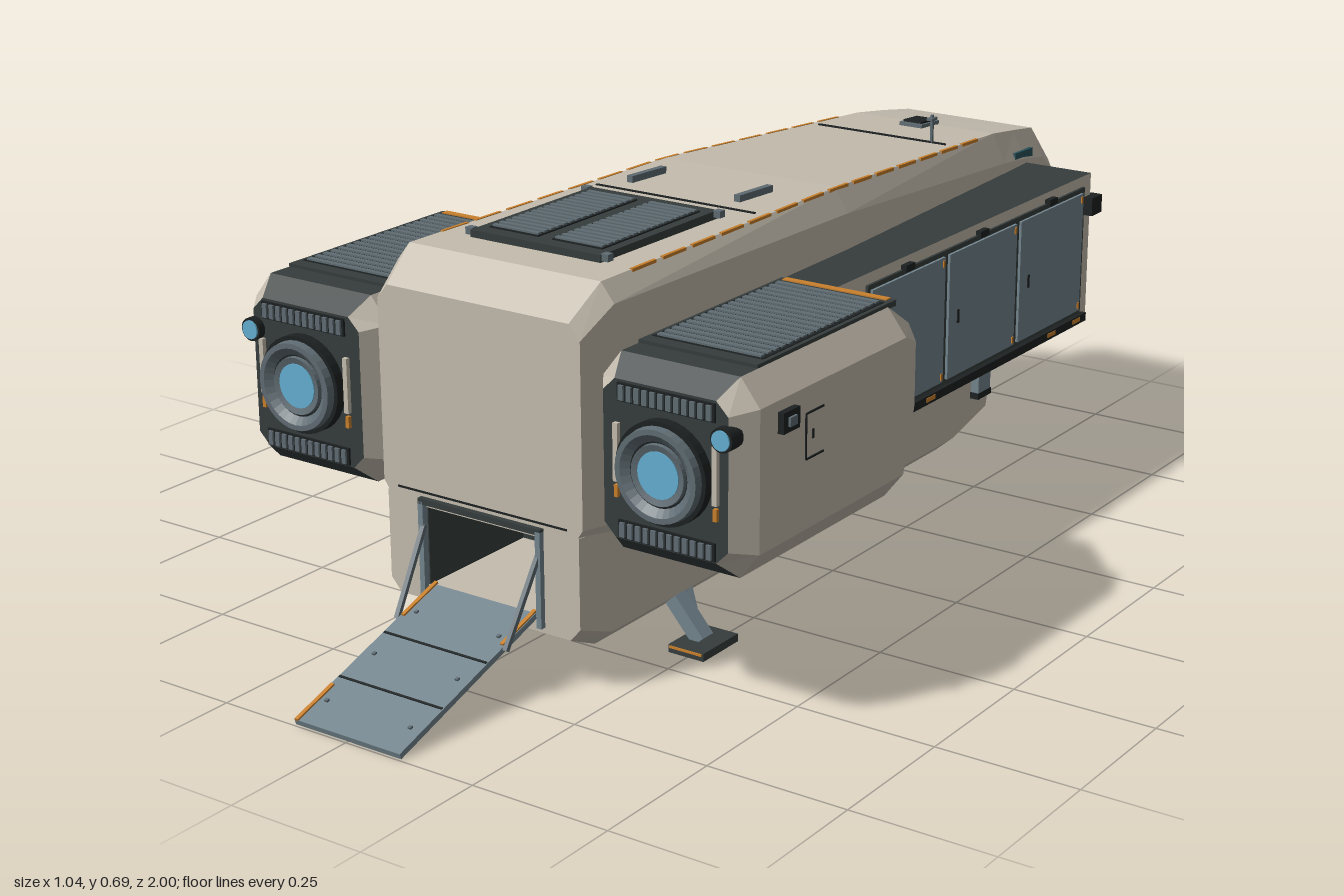
import * as THREE from 'three';

const mat = (name, color, side = THREE.FrontSide) => {
  const m = new THREE.MeshStandardMaterial({ color, side, flatShading: true });
  m.name = name;
  return m;
};

export function createModel() {
  const hull = mat('hull beige', 0xc4bcae), dark = mat('dark plating', 0x363d3c),
    black = mat('black trim', 0x1d2122), panel = mat('blue grey panel', 0x74868f),
    steel = mat('steel', 0x5f6c73, THREE.DoubleSide), orange = mat('orange marking', 0xc9802c),
    glow = mat('engine blue', 0x64b0d4), glass = mat('teal glass', 0x2a525c, THREE.DoubleSide);
  const root = new THREE.Group();
  root.name = 'dropship';

  const add = (parent, name, geo, m, x = 0, y = 0, z = 0) => {
    const mesh = new THREE.Mesh(geo, m);
    mesh.name = name;
    mesh.position.set(x, y, z);
    parent.add(mesh);
    return mesh;
  };
  const box = (p, name, m, w, h, d, x, y, z) => add(p, name, new THREE.BoxGeometry(w, h, d), m, x, y, z);
  const group = (p, name) => {
    const g = new THREE.Group();
    g.name = name;
    p.add(g);
    return g;
  };
  // square bar from point a to point b
  const bar = (p, name, m, a, b, w, h = w) => {
    const A = new THREE.Vector3(...a), B = new THREE.Vector3(...b);
    const mesh = box(p, name, m, w, h, A.distanceTo(B), 0, 0, 0);
    mesh.position.copy(A).add(B).multiplyScalar(0.5);
    mesh.quaternion.setFromRotationMatrix(new THREE.Matrix4().lookAt(B, A, new THREE.Vector3(0, 1, 0)));
    return mesh;
  };
  // loft of convex sections [z, points] from front to back; pick(edge) gives 0 or 1 for the material
  const loft = (p, name, secs, mats, pick, frontCap = 0) => {
    const tris = [[], []], n = secs[0][1].length;
    const P = (s, i) => [...secs[s][1][i % n], secs[s][0]];
    for (let s = 0; s < secs.length - 1; s++)
      for (let i = 0; i < n; i++)
        tris[pick(i)].push(P(s, i), P(s + 1, i), P(s + 1, i + 1), P(s, i), P(s + 1, i + 1), P(s, i + 1));
    const e = secs.length - 1;
    for (let i = 1; i < n - 1; i++) {
      if (frontCap !== null) tris[frontCap].push(P(0, 0), P(0, i), P(0, i + 1));
      tris[0].push(P(e, 0), P(e, i + 1), P(e, i));
    }
    const geo = new THREE.BufferGeometry();
    geo.setAttribute('position', new THREE.Float32BufferAttribute(tris.flat(2), 3));
    geo.addGroup(0, tris[0].length, 0);
    geo.addGroup(tris[0].length, tris[1].length, 1);
    geo.computeVertexNormals();
    return add(p, name, geo, mats);
  };
  const darkBelly = i => (i === 0 ? 1 : 0);
  const octagon = (x0, x1, y0, y1, c, d = c) => [[x0 + c, y0], [x1 - c, y0], [x1, y0 + d], [x1, y1 - d],
    [x1 - c, y1], [x0 + c, y1], [x0, y1 - d], [x0, y0 + d]];
  const quad = (p, name, m, pts) => {
    const geo = new THREE.BufferGeometry();
    geo.setAttribute('position', new THREE.Float32BufferAttribute(pts.flat(), 3));
    geo.setIndex([0, 1, 2, 0, 2, 3]);
    geo.computeVertexNormals();
    return add(p, name, geo, m);
  };

  // upper hull: half width, roof half width, bottom, shoulder, roof
  const up = (z, w, t, y0, y1, y2) => [z, [[-w + 0.02, y0], [w - 0.02, y0], [w, y0 + 0.03], [w, y1], [t, y2], [-t, y2], [-w, y1], [-w, y0 + 0.03]]];
  loft(root, 'upperHull', [
    up(0.66, 0.203, 0.182, 0.255, 0.595, 0.62), up(0.59, 0.217, 0.192, 0.25, 0.64, 0.672),
    up(-0.1, 0.207, 0.182, 0.25, 0.625, 0.668), up(-0.71, 0.178, 0.152, 0.25, 0.58, 0.635),
    up(-0.8, 0.173, 0.147, 0.265, 0.57, 0.623), up(-0.885, 0.167, 0.14, 0.31, 0.555, 0.61),
    up(-0.995, 0.132, 0.122, 0.385, 0.5, 0.52)], [hull, dark], darkBelly);

  // lower hull with an open bay at the front
  const low = (z, w, b, y0, y1) => [z, [[-b, y0], [b, y0], [w, y1], [w, 0.27], [-w, 0.27], [-w, y1]]];
  loft(root, 'lowerHull', [low(0.66, 0.195, 0.175, 0.092, 0.115), low(0.59, 0.205, 0.17, 0.06, 0.09),
    low(-0.5, 0.2, 0.165, 0.06, 0.09), low(-0.69, 0.165, 0.13, 0.062, 0.095),
    low(-0.79, 0.125, 0.1, 0.145, 0.175)], [hull, dark], darkBelly, null);
  const face = new THREE.Shape(low(0, 0.195, 0.175, 0.092, 0.115)[1].map(([x, y]) => new THREE.Vector2(x, y)));
  face.holes.push(new THREE.Path([[-0.115, 0.12], [-0.115, 0.262], [0.115, 0.262], [0.115, 0.12]].map(([x, y]) => new THREE.Vector2(x, y))));
  add(root, 'bayFront', new THREE.ShapeGeometry(face), hull, 0, 0, 0.66);
  const bay = group(root, 'loadingBay');
  box(bay, 'bayFloor', hull, 0.23, 0.008, 0.25, 0, 0.116, 0.533);
  box(bay, 'bayCeiling', dark, 0.23, 0.008, 0.25, 0, 0.262, 0.533);
  box(bay, 'bayBack', dark, 0.23, 0.145, 0.008, 0, 0.19, 0.41);
  for (const s of [-1, 1]) {
    box(bay, 'bayWall', dark, 0.008, 0.145, 0.25, s * 0.117, 0.19, 0.533);
    box(bay, 'bayFrame', panel, 0.01, 0.165, 0.012, s * 0.12, 0.185, 0.664);
  }
  box(bay, 'bayLintel', dark, 0.25, 0.01, 0.012, 0, 0.267, 0.664);
  box(root, 'frontSeam', black, 0.345, 0.003, 0.004, 0, 0.28, 0.66);

  // ramp
  const ramp = group(root, 'ramp');
  ramp.position.set(0, 0.12, 0.66);
  ramp.rotation.x = 0.317;
  box(ramp, 'rampDeck', panel, 0.214, 0.01, 0.355, 0, -0.002, 0.177);
  for (const z of [0.13, 0.245]) box(ramp, 'rampSeam', black, 0.21, 0.003, 0.004, 0, 0.003, z);
  for (const [x, z] of [[0.102, 0.04], [-0.102, 0.04], [-0.102, 0.31]]) box(ramp, 'rampMark', orange, 0.007, 0.004, 0.09, x, 0.004, z);
  for (const s of [-1, 1]) for (const z of [0.07, 0.18, 0.3]) box(ramp, 'rampStud', steel, 0.006, 0.005, 0.006, s * 0.085, 0.004, z);

  // louvred panel lying flat: bed plus cross slats
  const louvre = (p, name, x, y, z, w, d, n) => {
    const g = group(p, name);
    box(g, 'louvreBed', black, w, 0.006, d, x, y, z);
    for (let i = 0; i < n; i++)
      box(g, 'slat', steel, w * 0.94, 0.004, d / n * 0.55, x, y + 0.004, z - d / 2 + d * (i + 0.5) / n);
  };

  // roof equipment
  const roof = group(root, 'roofEquipment');
  box(roof, 'roofVentFrame', dark, 0.262, 0.016, 0.325, 0, 0.676, 0.347);
  for (const s of [-1, 1]) {
    louvre(roof, 'roofVent', s * 0.064, 0.683, 0.347, 0.1, 0.27, 16);
    bar(roof, 'roofRail', steel, [s * 0.112, 0.682, 0.1], [s * 0.112, 0.678, 0], 0.012);
    for (const z of [0.19, 0.5]) box(roof, 'ventLug', steel, 0.014, 0.012, 0.014, s * 0.137, 0.68, z);
  }
  box(roof, 'roofSeam', black, 0.33, 0.003, 0.005, 0, 0.67, 0.125);
  box(roof, 'roofSeam', black, 0.28, 0.003, 0.005, 0, 0.645, -0.55);
  box(roof, 'roofHatch', steel, 0.05, 0.01, 0.065, 0, 0.638, -0.69).rotation.x = -0.06;
  box(roof, 'hatchCover', black, 0.04, 0.01, 0.05, 0, 0.642, -0.69).rotation.x = -0.06;
  box(roof, 'antenna', steel, 0.005, 0.065, 0.005, 0.11, 0.665, -0.55);
  box(roof, 'antennaTip', steel, 0.012, 0.005, 0.02, 0.11, 0.69, -0.55);

  // windscreen on the sloping nose
  const slope = (x, z, lift) => [x, 0.61 + (z + 0.885) * 0.818 + lift, z - lift * 0.8];
  const nose = group(root, 'windscreen');
  for (const s of [-1, 1]) {
    const pane = (a, b, c, z0, z1, l) => [slope(s * a, z0, l), slope(s * b, z0, l), slope(s * c, z1, l), slope(s * a, z1, l)];
    quad(nose, 'windowFrame', steel, pane(0.003, 0.13, 0.112, -0.9, -0.967, 0.003));
    quad(nose, 'window', glass, pane(0.008, 0.121, 0.106, -0.906, -0.962, 0.006));
    box(nose, 'noseLamp', black, 0.022, 0.022, 0.012, s * 0.085, 0.425, -0.993);
    bar(nose, 'sideWindow', glass, [s * 0.17, 0.578, -0.76], [s * 0.164, 0.573, -0.84], 0.009, 0.02);
  }

  // one side of the ship, built at +x and mirrored
  const buildSide = (name, sign) => {
    const g = group(root, name);
    g.scale.x = sign;

    // cargo pod
    const pod = (z, x, b, y0, y1, y2) => [z, [[0.13, y0], [b, y0], [x, y1], [x, y2], [0.13, y2]]];
    const cargo = group(g, 'cargoPod');
    loft(cargo, 'podBody', [pod(0.1, 0.312, 0.27, 0.245, 0.28, 0.56), pod(-0.81, 0.312, 0.27, 0.245, 0.28, 0.56),
      pod(-0.925, 0.192, 0.18, 0.33, 0.345, 0.5)], [hull, dark], i => (i === 3 || i === 0 ? 1 : 0));
    box(cargo, 'podBacking', dark, 0.008, 0.25, 0.785, 0.313, 0.415, -0.385);
    for (let i = 0; i < 3; i++) {
      const z = -0.122 - i * 0.26;
      box(cargo, 'sidePanel', panel, 0.012, 0.232, 0.244, 0.316, 0.415, z);
      box(cargo, 'panelHandle', black, 0.006, 0.025, 0.006, 0.321, 0.41, z + 0.09);
      box(cargo, 'panelClip', black, 0.016, 0.012, 0.03, 0.315, 0.542, z);
      for (const y of [0.31, 0.52]) box(cargo, 'panelCorner', orange, 0.004, 0.012, 0.006, 0.322, y, z - 0.115);
    }
    box(cargo, 'podRail', black, 0.02, 0.016, 0.89, 0.314, 0.28, -0.345);
    for (const z of [0.05, -0.06, -0.2, -0.65, -0.75]) box(cargo, 'railMark', orange, 0.003, 0.008, 0.03, 0.3235, 0.281, z);
    box(cargo, 'podLamp', black, 0.024, 0.035, 0.04, 0.318, 0.5, -0.805);
    box(cargo, 'podFin', panel, 0.016, 0.1, 0.045, 0.2, 0.2, -0.605);
    box(cargo, 'podFinCap', black, 0.018, 0.012, 0.05, 0.2, 0.152, -0.605);

    // engine nacelle
    const nac = group(g, 'nacelle');
    loft(nac, 'nacelleBody', [[0.66, octagon(0.246, 0.477, 0.29, 0.55, 0.022)], [0.62, octagon(0.217, 0.507, 0.257, 0.58, 0.035, 0.045)],
      [0.2, octagon(0.217, 0.507, 0.257, 0.58, 0.035, 0.045)], [-0.005, octagon(0.25, 0.405, 0.31, 0.485, 0.015, 0.03)]],
      [hull, dark], i => (i === 4 || i === 0 ? 1 : 0), 1);
    box(nac, 'ventFrame', dark, 0.22, 0.01, 0.4, 0.362, 0.581, 0.375);
    louvre(nac, 'nacelleVent', 0.362, 0.584, 0.375, 0.205, 0.35, 18);
    box(nac, 'ventMark', orange, 0.2, 0.008, 0.014, 0.362, 0.584, 0.182);
    box(nac, 'sideLamp', black, 0.016, 0.034, 0.045, 0.51, 0.5, 0.55);
    box(nac, 'lampStub', steel, 0.012, 0.015, 0.02, 0.516, 0.5, 0.55);
    for (const [h, d, y, z] of [[0.075, 0.003, 0.455, 0.495], [0.003, 0.05, 0.492, 0.47], [0.003, 0.05, 0.418, 0.47], [0.015, 0.005, 0.455, 0.475]])
      box(nac, 'hatchOutline', black, 0.004, h, d, 0.507, y, z);

    // engine nozzle and front details
    const eng = group(nac, 'engine');
    eng.position.set(0.365, 0.42, 0.658);
    const lathe = (n, m, pts) => {
      add(eng, n, new THREE.LatheGeometry(pts.map(([r, y]) => new THREE.Vector2(r, y)), 32), m).rotation.x = Math.PI / 2;
    };
    const disc = (n, m, r, h, x, y, z) => {
      add(eng, n, new THREE.CylinderGeometry(r, r, h, 32), m, x, y, z).rotation.x = Math.PI / 2;
    };
    disc('nozzleBase', black, 0.084, 0.02, 0, 0, 0.01);
    lathe('nozzleRing', steel, [[0.077, 0.018], [0.075, 0.034], [0.066, 0.034], [0.053, 0.024]]);
    lathe('nozzleThroat', steel, [[0.05, 0.021], [0.049, 0.028], [0.036, 0.024]]);
    disc('engineGlow', glow, 0.038, 0.005, 0, 0, 0.024);
    for (const y of [0.111, -0.112]) {
      box(eng, 'grilleBed', black, 0.18, 0.03, 0.006, 0, y, 0.003);
      for (let i = 0; i < 12; i++) box(eng, 'grilleSlat', steel, 0.009, 0.024, 0.008, -0.081 + i * 0.0147, y, 0.006);
    }
    for (const s of [-1, 1]) {
      box(eng, 'frontBar', hull, 0.009, 0.095, 0.01, s * 0.092, 0.013, 0.005);
      box(eng, 'frontMark', orange, 0.007, 0.02, 0.008, s * 0.092, -0.05, 0.005);
    }
    disc('lampHousing', black, 0.02, 0.03, 0.108, 0.075, 0);
    disc('lampLens', glow, 0.016, 0.006, 0.108, 0.075, 0.015);

    // dashed trim lying flush along the roof edge
    const edge = new THREE.CurvePath();
    const e = [[0.191, 0.67, 0.51], [0.182, 0.666, -0.1], [0.154, 0.636, -0.66]].map(p => new THREE.Vector3(...p));
    edge.add(new THREE.LineCurve3(e[0], e[1]));
    edge.add(new THREE.LineCurve3(e[1], e[2]));
    for (let i = 0; i < 14; i++)
      bar(g, 'roofTrim', orange, edge.getPointAt(i / 14).toArray(), edge.getPointAt((i + 0.78) / 14).toArray(), 0.006);

    // ramp stay and front leg
    bar(g, 'rampStay', steel, [0.117, 0.225, 0.665], [0.112, 0.09, 0.745], 0.008);
    const leg = group(g, 'frontLeg');
    bar(leg, 'legStrut', panel, [0.17, 0.11, 0.4], [0.25, 0.018, 0.4], 0.03, 0.026);
    bar(leg, 'legBrace', steel, [0.19, 0.095, 0.36], [0.245, 0.02, 0.4], 0.01);
    box(leg, 'foot', dark, 0.07, 0.014, 0.1, 0.25, 0.012, 0.4);
    box(leg, 'footMark', orange, 0.064, 0.004, 0.003, 0.25, 0.016, 0.451);
  };
  buildSide('leftSide', 1);
  buildSide('rightSide', -1);

  // single rear leg
  const rear = group(root, 'rearLeg');
  for (const s of [-1, 1]) bar(rear, 'legStrut', panel, [s * 0.03, 0.075, -0.545], [s * 0.01, 0.015, -0.57], 0.02);
  box(rear, 'foot', dark, 0.08, 0.014, 0.1, 0, 0.012, -0.57);
  return root;
}
